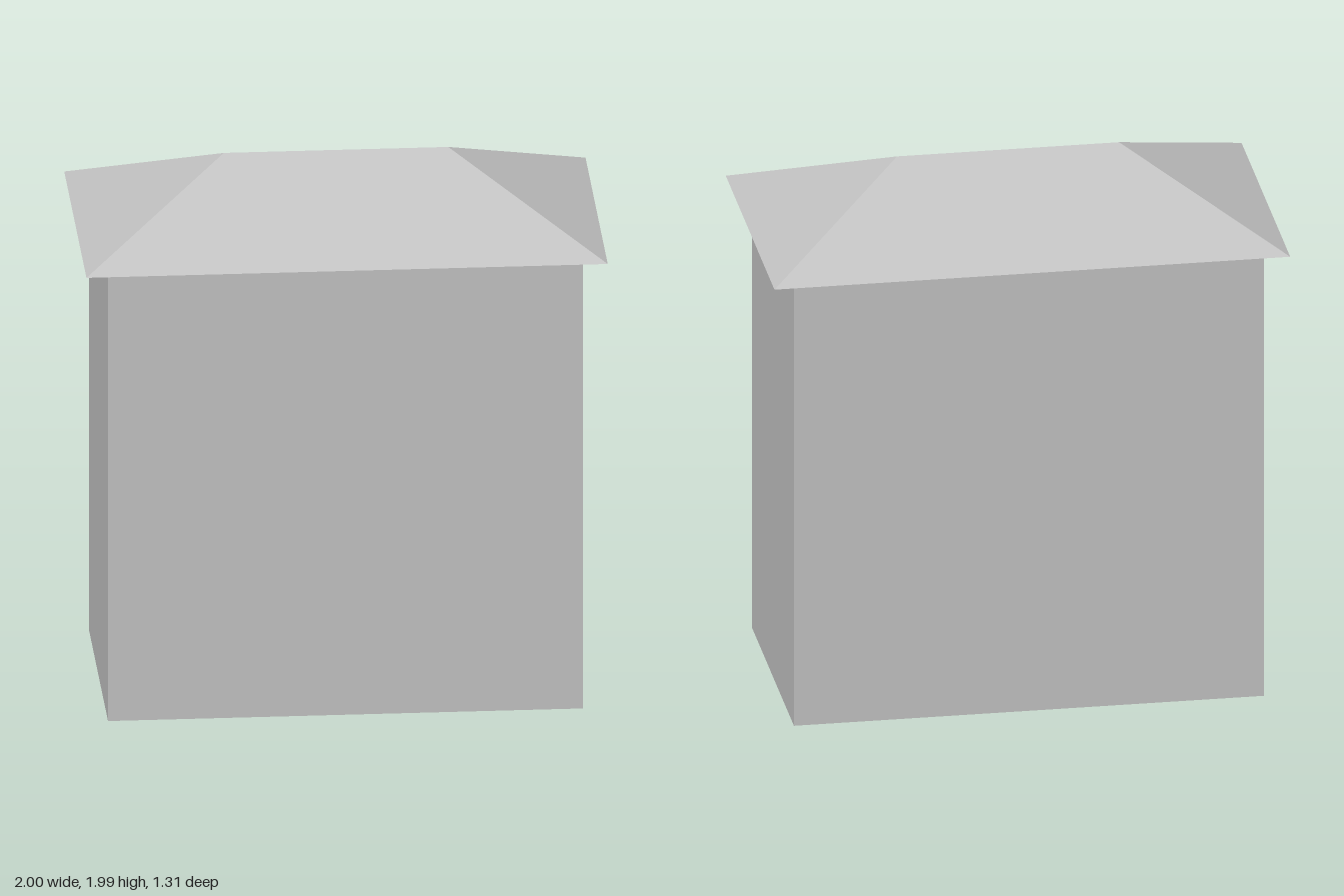
import * as THREE from 'three';

const WALL_HEIGHT = 1.73;

// Hip roof: rectangular eaves, short ridge along x, flat underside
function hipRoofGeometry(halfLength, halfDepth, halfRidge, height) {
  const points = [
    [-halfLength, 0, halfDepth], [halfLength, 0, halfDepth],
    [halfLength, 0, -halfDepth], [-halfLength, 0, -halfDepth],
    [-halfRidge, height, 0], [halfRidge, height, 0],
  ];
  const faces = [
    0, 1, 5, 0, 5, 4, // front slope
    2, 3, 4, 2, 4, 5, // back slope
    1, 2, 5, 3, 0, 4, // end hips
    0, 3, 2, 0, 2, 1, // underside
  ];
  const geometry = new THREE.BufferGeometry();
  geometry.setAttribute('position',
    new THREE.Float32BufferAttribute(faces.flatMap((i) => points[i]), 3));
  geometry.computeVertexNormals();
  return geometry;
}

// Four walls, open at the bottom and top
function wallsGeometry(length, height, depth) {
  const geometry = new THREE.CylinderGeometry(Math.SQRT1_2, Math.SQRT1_2, 1, 4, 1, true)
    .rotateY(Math.PI / 4)
    .scale(length, height, depth)
    .translate(0, height / 2, 0)
    .toNonIndexed();
  geometry.computeVertexNormals();
  return geometry;
}

export function createModel() {
  const grey = new THREE.MeshStandardMaterial({
    name: 'plain grey', color: 0xc0c0c0, flatShading: true, side: THREE.DoubleSide,
  });

  const walls = new THREE.Mesh(wallsGeometry(1.706, WALL_HEIGHT, 0.92), grey);
  walls.name = 'walls';

  const roof = new THREE.Mesh(hipRoofGeometry(0.936, 0.535, 0.403, 0.26), grey);
  roof.name = 'hipRoof';
  roof.position.y = WALL_HEIGHT;

  // The whole building stands slightly turned
  const house = new THREE.Group();
  house.name = 'house';
  house.rotation.y = 0.135;
  house.add(walls, roof);

  const model = new THREE.Group();
  model.name = 'building';
  model.add(house);
  return model;
}
